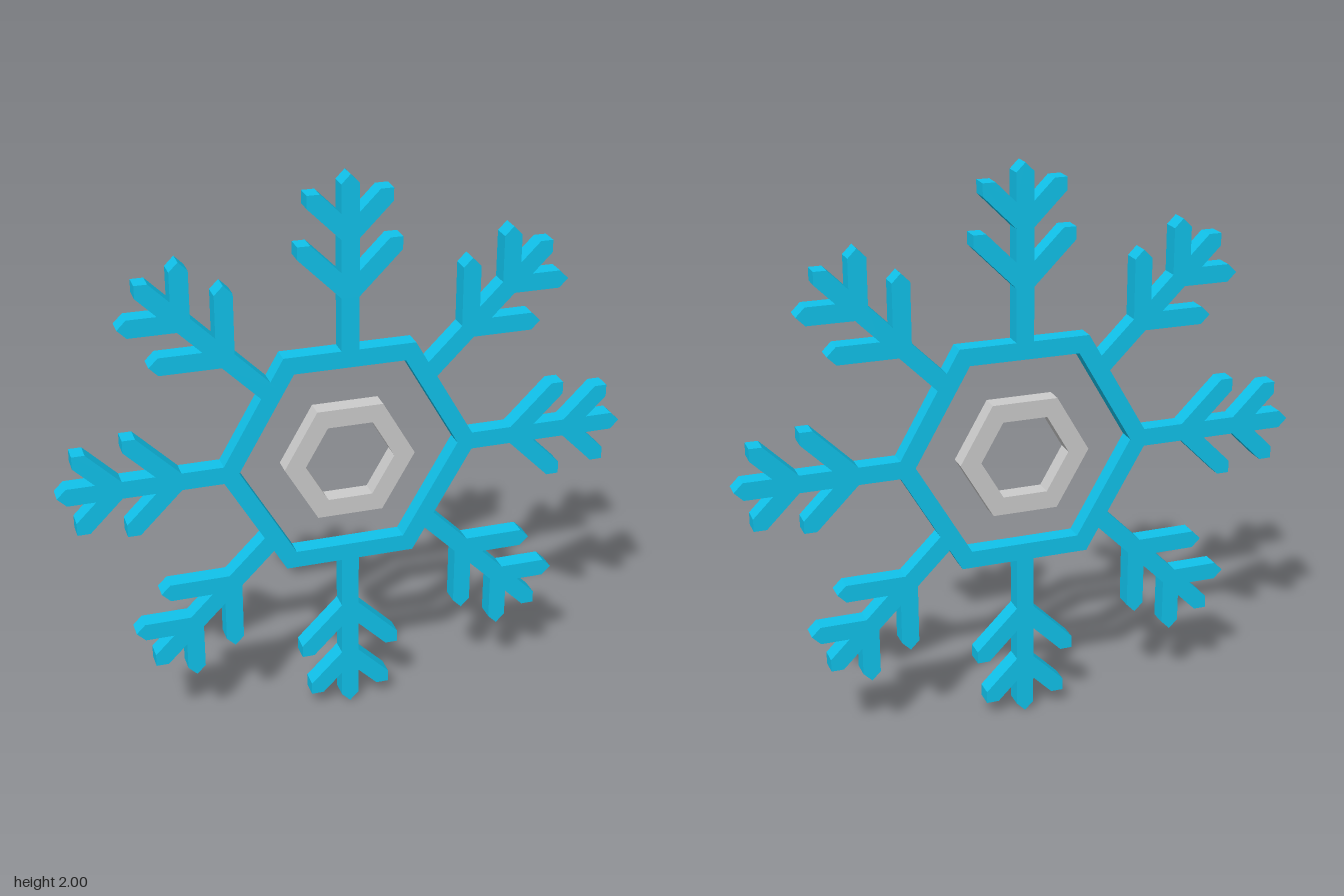
import * as THREE from 'three';

const DEPTH = 0.064; // thickness of the whole plate
const H = 0.031;     // half width of every bar

const extrude = (shape) =>
  new THREE.ExtrudeGeometry(shape, { depth: DEPTH, bevelEnabled: false }).translate(0, 0, -DEPTH / 2);

// Corners of a hexagon with flat top and bottom, from its centre-to-side distance
function hexPoints(apothem) {
  const r = apothem / Math.cos(Math.PI / 6);
  return Array.from({ length: 6 }, (_, i) =>
    new THREE.Vector2(r * Math.cos(i * Math.PI / 3), r * Math.sin(i * Math.PI / 3)));
}

function hexRing(outer, inner) {
  const shape = new THREE.Shape(hexPoints(outer));
  shape.holes.push(new THREE.Path(hexPoints(inner).reverse()));
  return extrude(shape);
}

// One side of a pointed twig leaving the arm at 45 degrees; u runs along the arm, v across it
function twig(start, length) {
  const s = Math.SQRT1_2;
  const at = (along, across) => [start + (along - across) * s, (along + across) * s];
  return [
    [start + H - H * Math.SQRT2, H],
    at(length - H, H),
    at(length, 0),
    at(length - H, -H),
    [start + H + H * Math.SQRT2, H],
  ];
}

// Arm outline: one half with two twigs, mirrored about its axis
function armGeometry(root) {
  const half = [[root, H], ...twig(0.598, 0.252), ...twig(0.798, 0.205), [1 - H, H]];
  const mirrored = half.map(([u, v]) => [u, -v]).reverse();
  const outline = [...half, [1, 0], ...mirrored].map(([u, v]) => new THREE.Vector2(u, v));
  return extrude(new THREE.Shape(outline));
}

export function createModel() {
  const model = new THREE.Group();
  model.name = 'snowflake';
  const blue = new THREE.MeshStandardMaterial({ color: 0x10c2eb });
  const grey = new THREE.MeshStandardMaterial({ color: 0xcccccc });

  const add = (name, geometry, material, y = 1) => {
    const mesh = new THREE.Mesh(geometry, material);
    mesh.name = name;
    mesh.position.y = y;
    model.add(mesh);
    return mesh;
  };

  // Hexagonal frame and the small loose hexagon inside it
  add('outerRing', hexRing(0.398, 0.337), blue);
  add('innerRing', hexRing(0.201, 0.137), grey, 0.986);

  // Eight branching arms, each rooted inside the frame
  for (let i = 0; i < 8; i++) {
    const root = i % 2 ? 0.385 : i % 4 ? 0.365 : 0.42;
    add(`arm${i + 1}`, armGeometry(root), blue).rotation.z = i * Math.PI / 4;
  }
  return model;
}
